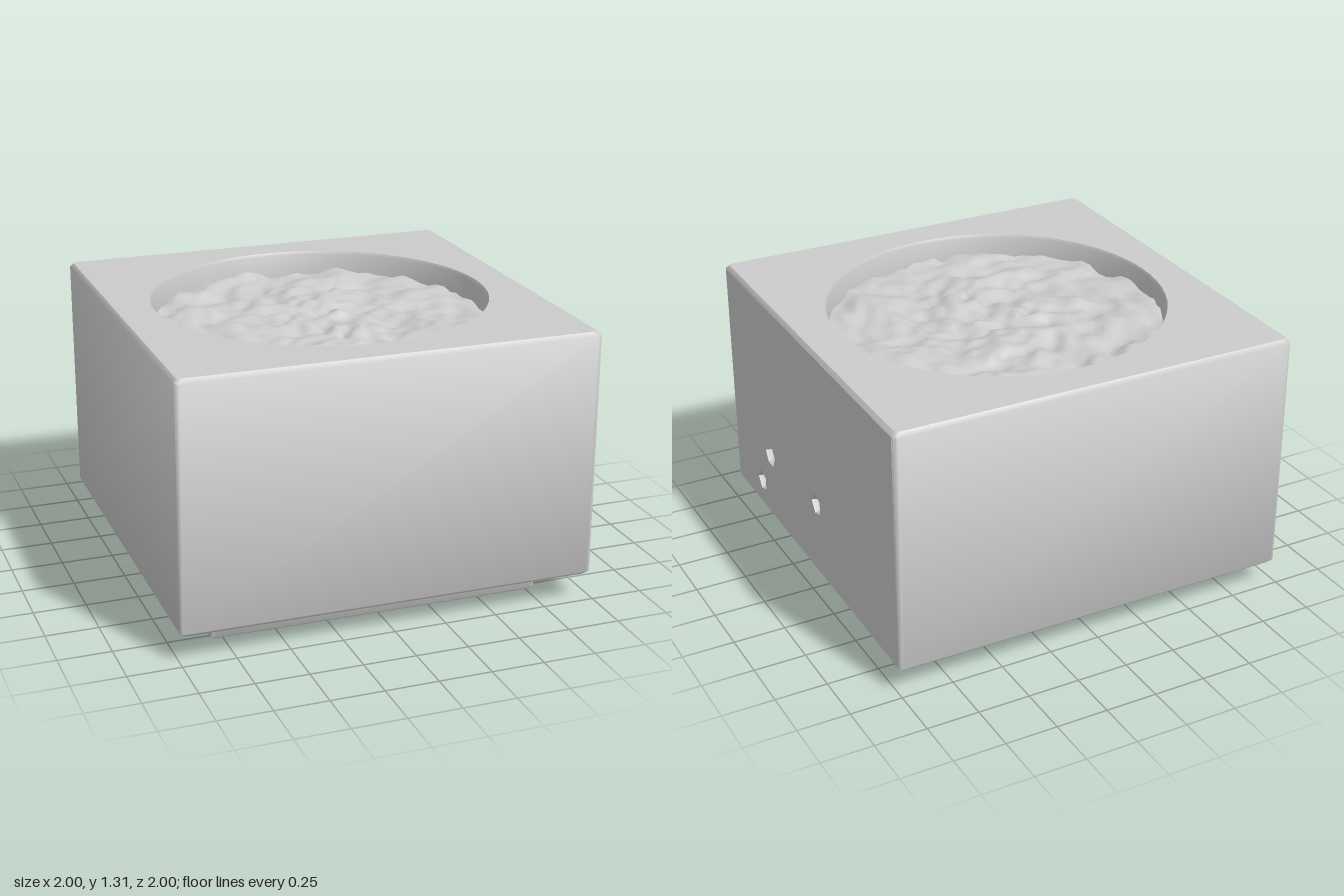
import * as THREE from 'three';
import { toCreasedNormals } from 'three/addons/utils/BufferGeometryUtils.js';

const HALF = 0.992;      // half width of the block
const BOTTOM = 0.14;     // lower end of the walls
const WALL_TOP = 1.29;
const TOP = 1.31;

const material = new THREE.MeshStandardMaterial({ color: 0xcccccc, side: THREE.DoubleSide });

// Rounded square outline as [x, -z] points, starting at the +x / -z corner
function squareRing(half, radius = 0.025) {
  const points = [];
  for (let corner = 0; corner < 4; corner++) {
    const mid = Math.PI / 4 + corner * Math.PI / 2;
    const cx = Math.sign(Math.cos(mid)) * (half - radius);
    const cy = Math.sign(Math.sin(mid)) * (half - radius);
    for (let k = 0; k < 4; k++) {
      const a = corner * Math.PI / 2 + k * Math.PI / 6;
      points.push(new THREE.Vector2(cx + radius * Math.cos(a), cy + radius * Math.sin(a)));
    }
  }
  return points;
}

// Square rings joined from bottom to top; the +x wall is left open for the pitted panel
function shellGeometry(profile) {
  const positions = [], index = [];
  profile.forEach(([half, y], i) => {
    squareRing(half).forEach((p, j) => {
      positions.push(p.x, y, -p.y);
      if (i === profile.length - 1) return;
      if (y === BOTTOM && j === 15) return;
      const next = (j + 1) % 16;
      const a = i * 16 + j, b = i * 16 + next;
      index.push(a, b, b + 16, a, b + 16, a + 16);
    });
  });
  const geometry = new THREE.BufferGeometry();
  geometry.setAttribute('position', new THREE.Float32BufferAttribute(positions, 3));
  geometry.setIndex(index);
  return geometry;
}

// Flat square with a round opening, facing up or down
function squareWithOpening(half, radius, y, up) {
  const shape = new THREE.Shape(squareRing(half));
  shape.holes.push(new THREE.Path().absarc(0, 0, radius, 0, Math.PI * 2, true));
  const geometry = new THREE.ShapeGeometry(shape, 32);
  geometry.rotateX(up ? -Math.PI / 2 : Math.PI / 2);
  return geometry.translate(0, y, 0);
}

function lathe(points, segments = 64) {
  return new THREE.LatheGeometry(points.map(([r, y]) => new THREE.Vector2(r, y)), segments);
}

// Smooth value noise on a seeded lattice, in the range -1 to 1
function hash(i, j) {
  const s = Math.sin(i * 127.1 + j * 311.7 + 5.3) * 43758.5453;
  return (s - Math.floor(s)) * 2 - 1;
}
function noise(x, z) {
  const i = Math.floor(x), j = Math.floor(z);
  const u = x - i, v = z - j;
  const near = THREE.MathUtils.lerp(hash(i, j), hash(i + 1, j), u);
  const far = THREE.MathUtils.lerp(hash(i, j + 1), hash(i + 1, j + 1), u);
  return THREE.MathUtils.lerp(near, far, v);
}

function soilGeometry() {
  const geometry = new THREE.RingGeometry(0.001, 0.8, 96, 30).rotateX(-Math.PI / 2);
  const p = geometry.attributes.position;
  for (let i = 0; i < p.count; i++) {
    const x = p.getX(i), z = p.getZ(i);
    p.setY(i, 1.2 + 0.022 * noise(x * 9, z * 9) + 0.022 * noise(x * 19 + 40, z * 19));
  }
  return geometry;
}

// The block leans very slightly: the front is a touch higher than the back
function lean(geometry) {
  const p = geometry.attributes.position;
  for (let i = 0; i < p.count; i++) {
    const y = p.getY(i);
    p.setY(i, y + Math.min(1, Math.max(0, y / 0.1)) * 0.005 * p.getZ(i));
  }
  return geometry;
}

export function createModel() {
  const model = new THREE.Group();
  model.name = 'planter';
  const add = (name, geometry, crease = 0.9) => {
    const mesh = new THREE.Mesh(toCreasedNormals(lean(geometry), crease), material);
    mesh.name = name;
    model.add(mesh);
  };

  // Square foot, sloping underside, walls and softened top edge
  add('shell', shellGeometry([
    [0.79, 0], [0.8, 0.01], [0.8, 0.085], [0.825, 0.108],
    [0.975, 0.124], [HALF, BOTTOM], [HALF, WALL_TOP], [0.975, TOP],
  ]));

  // Pits in the left wall: [z, y, radius, sides, depth]
  const pits = [[0.5, 0.48, 0.06, 6, 0.09], [-0.085, 0.505, 0.055, 5, 0.07], [0.635, 0.27, 0.055, 5, 0.06]];
  const edge = HALF - 0.025;
  const panel = new THREE.Shape([
    new THREE.Vector2(-edge, BOTTOM), new THREE.Vector2(edge, BOTTOM),
    new THREE.Vector2(edge, WALL_TOP), new THREE.Vector2(-edge, WALL_TOP),
  ]);
  for (const [z, y, r, sides, depth] of pits) {
    const outline = [];
    for (let k = 0; k < sides; k++) {
      const a = k / sides * Math.PI * 2;
      outline.push(new THREE.Vector2(-z - r * Math.cos(a), y - r * Math.sin(a)));
    }
    panel.holes.push(new THREE.Path(outline));
    const pit = lathe([[r, 0], [r * 0.75, -depth * 0.7], [0.001, -depth]], sides);
    add('pit', pit.rotateZ(-Math.PI / 2).translate(HALF, y, z));
  }
  add('pittedWall', new THREE.ShapeGeometry(panel).rotateY(Math.PI / 2).translate(HALF, 0, 0));

  // Rim around the opening and the wall dropping to the soil
  add('rim', squareWithOpening(0.975, 0.805, TOP, true));
  add('openingWall', lathe([[0.805, TOP], [0.797, 1.295], [0.795, 1.14]]));
  add('soil', soilGeometry(), 1.2);

  // Underside with its shallow round recess
  add('underside', squareWithOpening(0.79, 0.69, 0, false));
  add('undersideRecess', lathe([[0.001, 0.08], [0.63, 0.08], [0.665, 0.06], [0.69, 0]]));

  model.rotation.y = -0.0075;
  return model;
}
